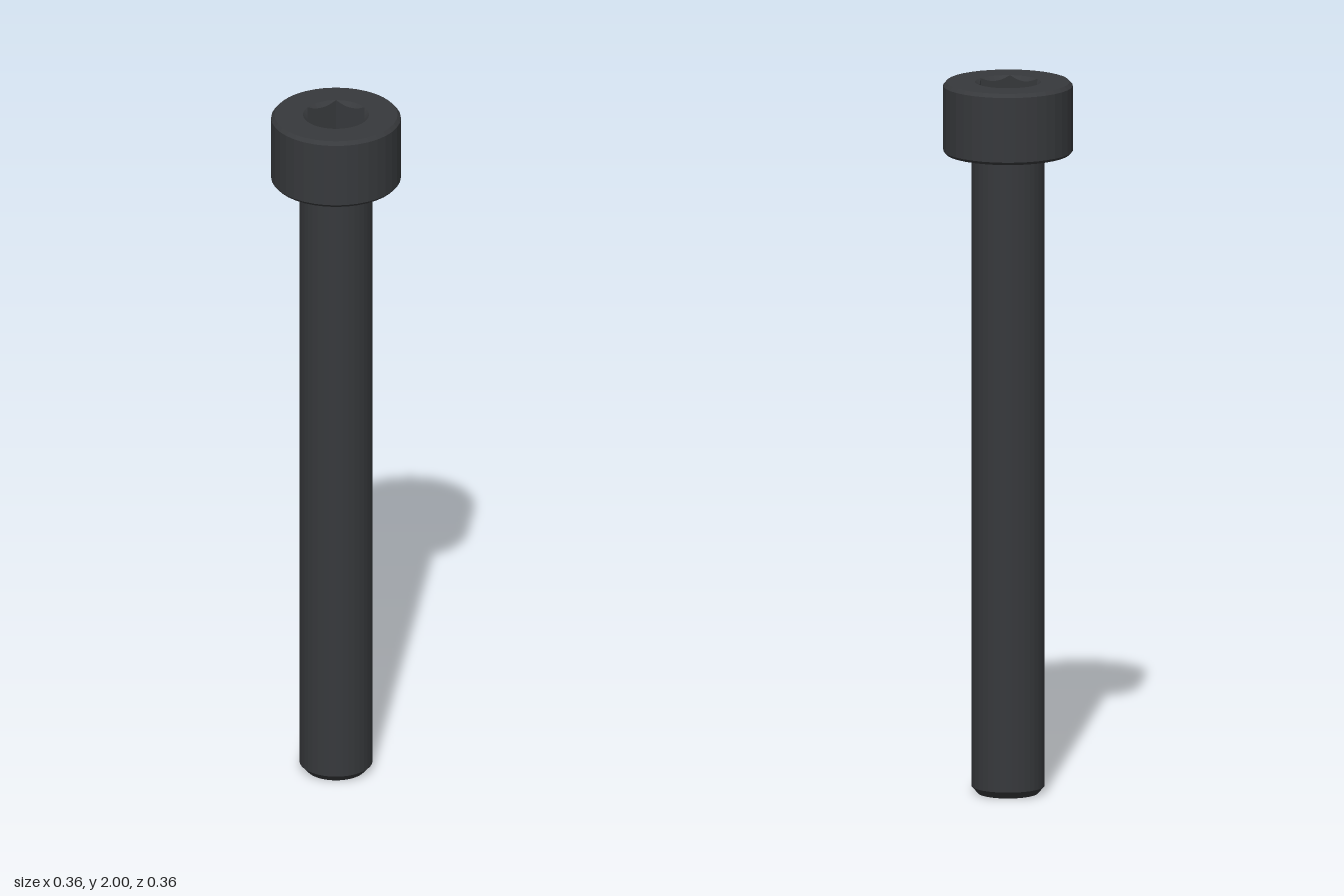
import * as THREE from 'three';

const SEGMENTS = 36; // multiple of 12, so hexagon corners fall on vertices
const SOCKET_RADIUS = 0.091;
const SOCKET_FLOOR = 1.9;

const material = new THREE.MeshStandardMaterial({ color: 0x37393c, flatShading: true });

function lathe(profile) {
  return new THREE.LatheGeometry(profile.map(([r, y]) => new THREE.Vector2(r, y)), SEGMENTS);
}

// Hexagonal recess: a turned profile whose inner rings are pulled onto a hexagon.
// The upper ring follows the countersink cone, giving the scalloped rim.
function socketGeometry() {
  const R = SOCKET_RADIUS;
  const geometry = lathe([[R, 2], [R, 1.99], [R, SOCKET_FLOOR], [0, SOCKET_FLOOR]]);
  const pos = geometry.attributes.position;
  const sector = Math.PI / 3;
  for (let i = 0; i < pos.count; i++) {
    const ring = i % 4;
    if (ring !== 1 && ring !== 2) continue;
    const x = pos.getX(i), z = pos.getZ(i);
    const angle = Math.atan2(z, x) + 2 * Math.PI;
    const fromFlat = (angle % sector) - sector / 2;
    const scale = Math.cos(sector / 2) / Math.cos(fromFlat);
    const y = ring === 1 ? 2 - R * (1 - scale) : SOCKET_FLOOR;
    pos.setXYZ(i, x * scale, y, z * scale);
  }
  geometry.computeVertexNormals();
  return geometry;
}

export function createModel() {
  const model = new THREE.Group();
  model.name = 'socketHeadBolt';

  const add = (name, geometry) => {
    const mesh = new THREE.Mesh(geometry, material);
    mesh.name = name;
    model.add(mesh);
  };

  // Plain shank with a chamfered tip
  add('shank', lathe([[0, 0], [0.083, 0], [0.101, 0.02], [0.101, 1.8]]));

  // Cylindrical head, chamfered above and below, open in the middle for the socket
  add('head', lathe([
    [0.101, 1.8], [0.172, 1.8], [0.179, 1.808],
    [0.179, 1.99], [0.17, 2], [SOCKET_RADIUS, 2],
  ]));

  // Hex key recess
  add('hexSocket', socketGeometry());

  return model;
}
